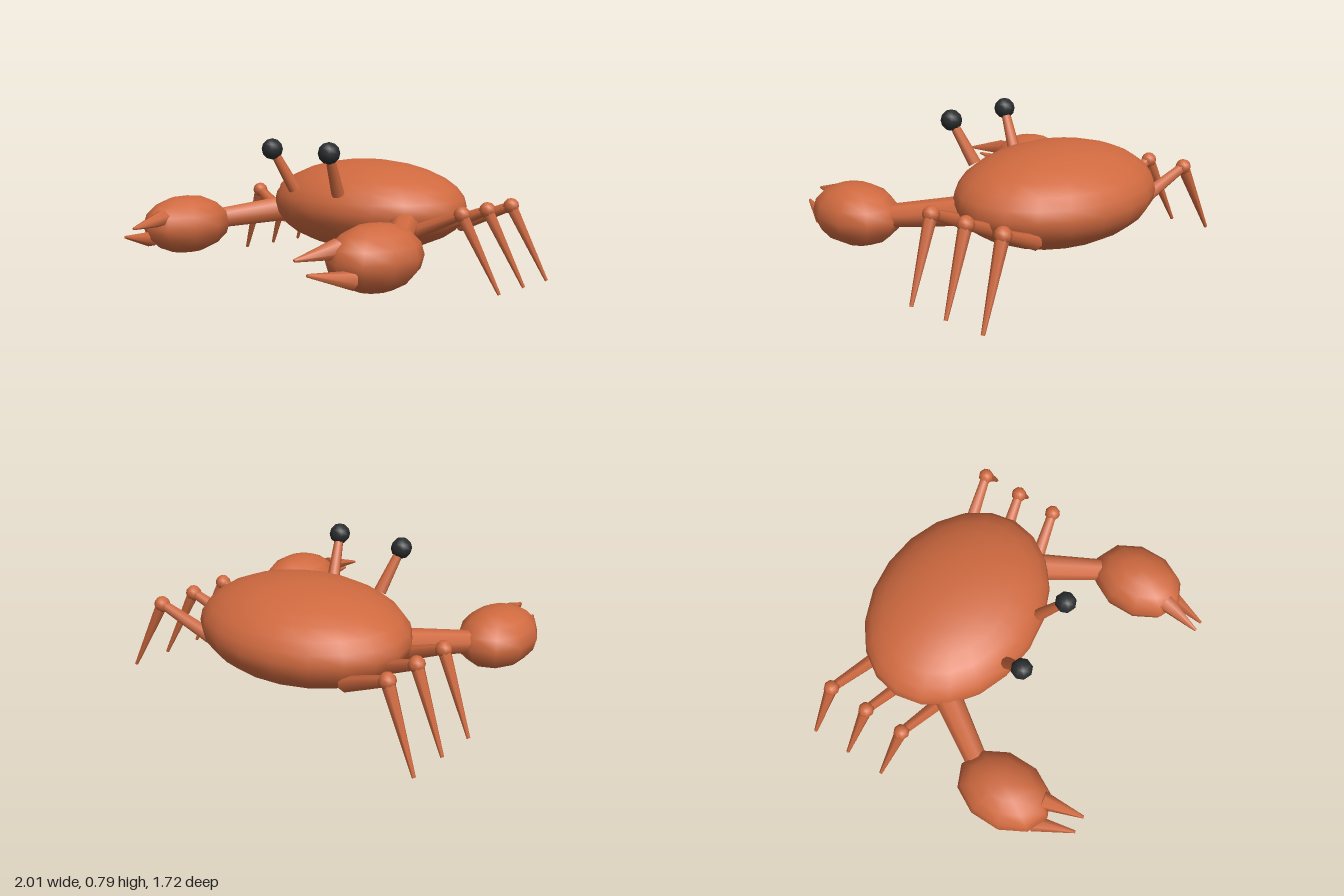
import * as THREE from 'three';

const shell = new THREE.MeshStandardMaterial({ color: 0xd06a40 });
const black = new THREE.MeshStandardMaterial({ color: 0x2a2d2e });

const vec = (p) => new THREE.Vector3(...p);

// Tapered limb running from point a (radius ra) to point b (radius rb)
function limb(name, a, b, ra, rb, sides = 6) {
  const from = vec(a), to = vec(b);
  const dir = to.clone().sub(from);
  const mesh = new THREE.Mesh(new THREE.CylinderGeometry(rb, ra, dir.length(), sides), shell);
  mesh.position.copy(from).add(to).multiplyScalar(0.5);
  mesh.quaternion.setFromUnitVectors(new THREE.Vector3(0, 1, 0), dir.normalize());
  mesh.name = name;
  return mesh;
}

// Sphere stretched to the given radii
function blob(name, centre, radii, w, h, material = shell) {
  const mesh = new THREE.Mesh(new THREE.SphereGeometry(1, w, h), material);
  mesh.scale.set(...radii);
  mesh.position.set(...centre);
  mesh.name = name;
  return mesh;
}

function createLeg(s, z) {
  const leg = new THREE.Group();
  const knee = [s * 0.79, 0.415, z];
  leg.add(
    limb('upperLeg', [s * 0.48, 0.28, z + 0.065], knee, 0.042, 0.028),
    blob('knee', knee, [0.045, 0.045, 0.045], 8, 6),
    limb('lowerLeg', knee, [s * 0.994, 0.008, z - 0.06], 0.036, 0.01)
  );
  return leg;
}

function createClaw(s) {
  const claw = new THREE.Group();
  claw.name = s > 0 ? 'leftClaw' : 'rightClaw';
  // The palm's long axis is turned to point forward
  const palm = blob('palm', [s * 0.74, 0.27, 0.41], [0.28, 0.17, 0.207], 10, 8);
  palm.rotation.y = Math.PI / 2;
  claw.add(
    limb('arm', [s * 0.475, 0.335, -0.13], [s * 0.7, 0.285, 0.22], 0.08, 0.062, 8),
    palm,
    limb('upperPincer', [s * 0.683, 0.333, 0.62], [s * 0.637, 0.303, 0.855], 0.052, 0.008),
    limb('lowerPincer', [s * 0.795, 0.2, 0.63], [s * 0.72, 0.247, 0.855], 0.048, 0.008)
  );
  return claw;
}

function createEye(s) {
  const eye = new THREE.Group();
  eye.name = s > 0 ? 'leftEye' : 'rightEye';
  const top = [s * 0.222, 0.73, 0.195];
  eye.add(
    limb('eyeStalk', [s * 0.17, 0.495, 0.07], top, 0.036, 0.024, 8),
    blob('eyeball', top, [0.06, 0.06, 0.06], 8, 6, black)
  );
  return eye;
}

export function createModel() {
  const crab = new THREE.Group();
  crab.name = 'crab';
  crab.add(blob('body', [0, 0.385, -0.375], [0.63, 0.265, 0.487], 20, 14));
  for (const s of [1, -1]) {
    crab.add(createClaw(s), createEye(s));
    ['front', 'middle', 'back'].forEach((row, i) => {
      const leg = createLeg(s, -0.22 - i * 0.235);
      leg.name = row + (s > 0 ? 'LeftLeg' : 'RightLeg');
      crab.add(leg);
    });
  }
  return crab;
}
